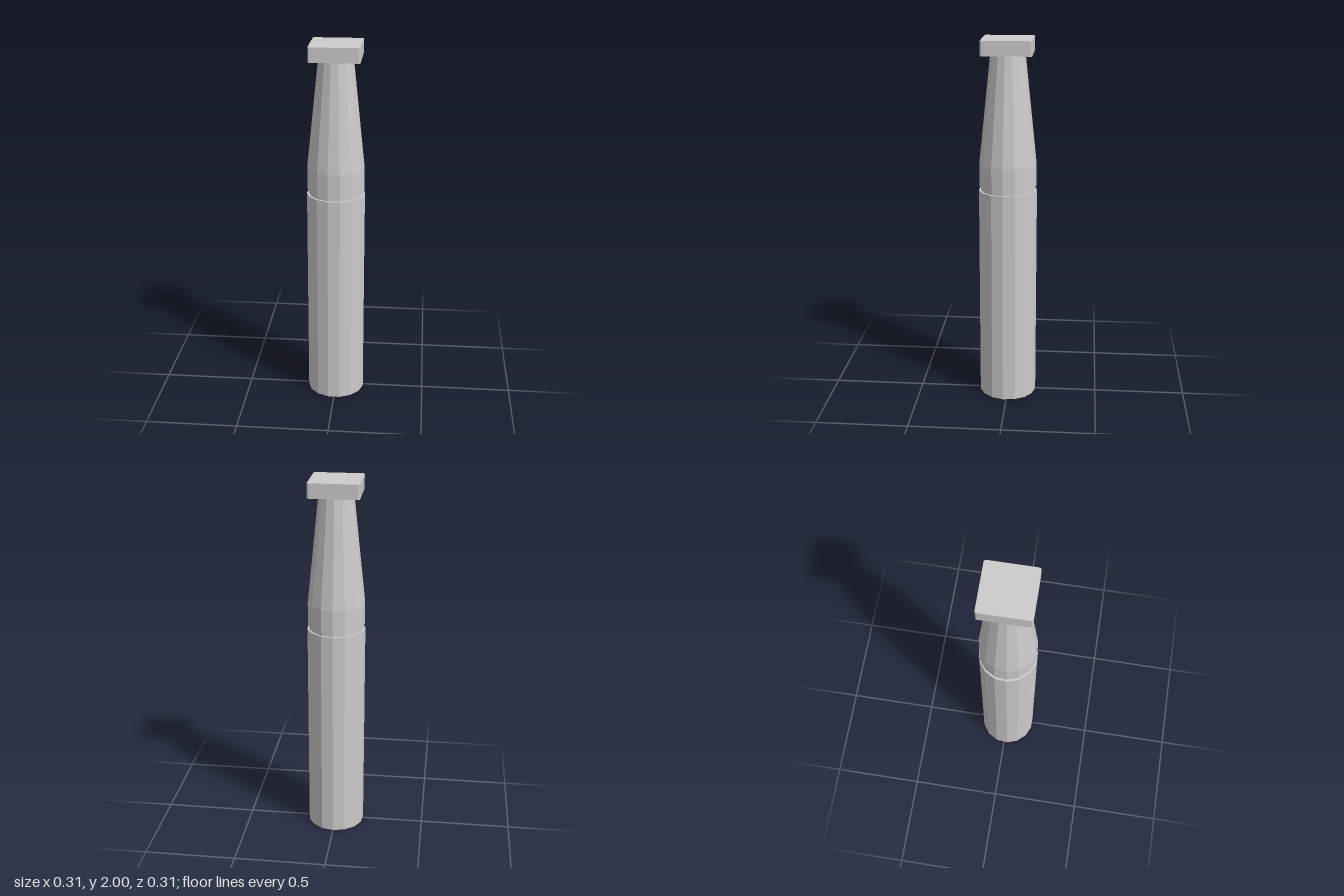
import * as THREE from 'three';

const SIDES = 15;

export function createModel() {
  const model = new THREE.Group();
  const material = new THREE.MeshStandardMaterial({ color: 0xcccccc, flatShading: true });

  const add = (name, geometry) => {
    const mesh = new THREE.Mesh(geometry, material);
    mesh.name = name;
    model.add(mesh);
    return mesh;
  };

  // Fifteen-sided turned part with one corner pointing straight back
  const turned = (name, profile) =>
    add(name, new THREE.LatheGeometry(
      profile.map(([r, y]) => new THREE.Vector2(r, y)), SIDES, Math.PI));

  // Straight lower shaft
  turned('shaft', [[0, 0], [0.158, 0], [0.158, 1.187], [0, 1.187]]);

  // Narrow recessed ring between shaft and upper section
  turned('groove', [[0.147, 1.187], [0.147, 1.21]]);

  // Upper section: short straight collar, then a long taper
  turned('taperedNeck', [[0, 1.21], [0.155, 1.21], [0.155, 1.335], [0.093, 1.922], [0, 1.922]]);

  // Square cap plate with slightly rounded corners
  const h = 0.134, r = 0.01;
  const square = new THREE.Shape();
  [[1, 1, 0], [-1, 1, 1], [-1, -1, 2], [1, -1, 3]].forEach(([sx, sy, quarter]) => {
    const start = quarter * Math.PI / 2;
    square.absarc(sx * (h - r), sy * (h - r), r, start, start + Math.PI / 2, false);
  });
  square.closePath();
  const plate = new THREE.ExtrudeGeometry(square, { depth: 0.078, bevelEnabled: false, curveSegments: 3 });
  plate.rotateX(-Math.PI / 2);
  plate.translate(0, 1.922, 0);
  add('capPlate', plate);

  // The odd side count makes the shaft deeper at the back, so recentre in depth
  model.children.forEach((mesh) => { mesh.position.z = 0.0017; });
  return model;
}
